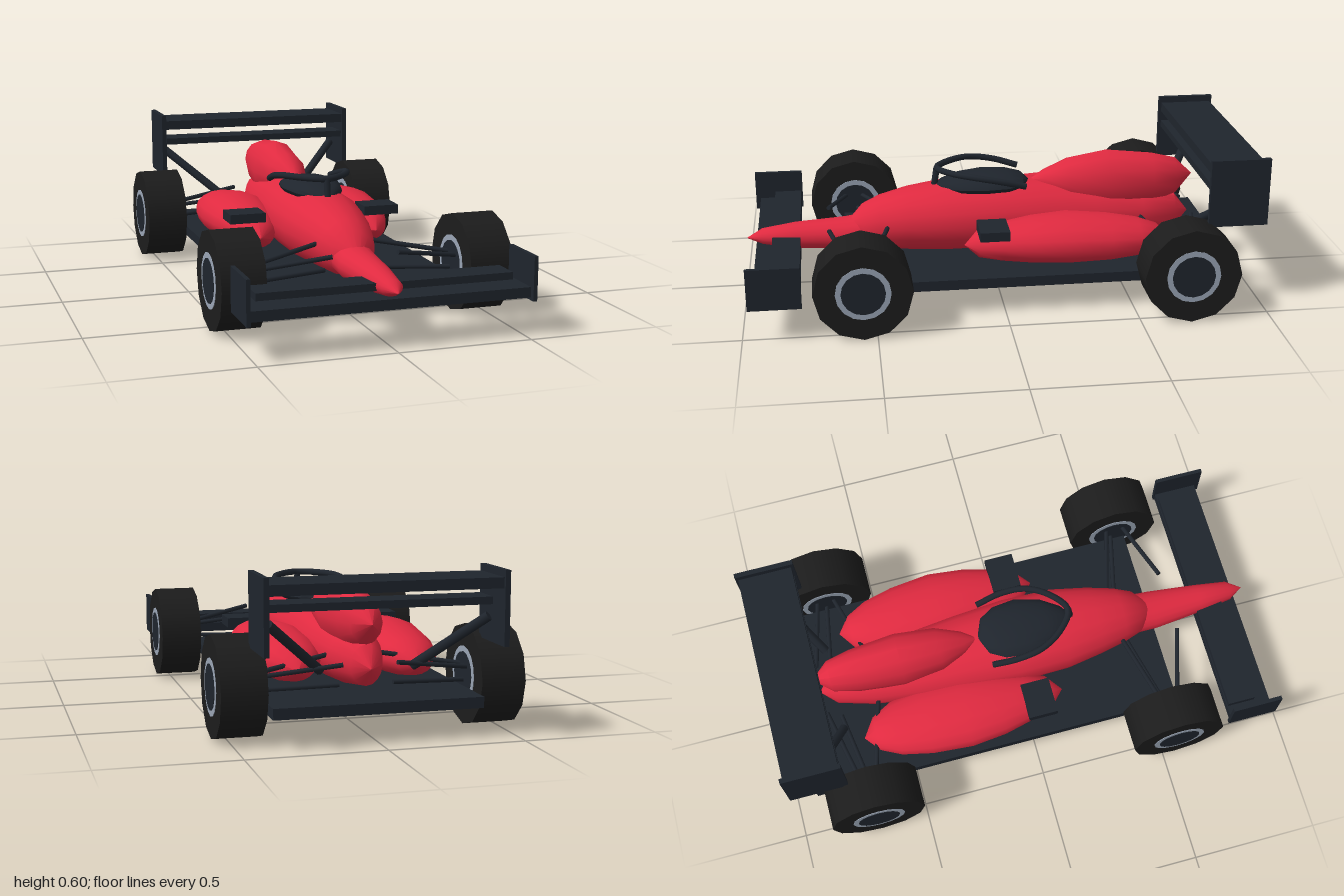
import * as THREE from 'three';
import { toCreasedNormals } from 'three/addons/utils/BufferGeometryUtils.js';

const mat = (color) => new THREE.MeshStandardMaterial({ color });
const red = mat(0xe02a40), carbon = mat(0x1f252d), rubber = mat(0x1c1c1c), silver = mat(0x9aa5b5);

export function createModel() {
  const car = new THREE.Group();
  car.name = 'racingCar';

  const add = (name, geometry, material, parent = car) => {
    const mesh = new THREE.Mesh(geometry, material);
    mesh.name = name;
    parent.add(mesh);
    return mesh;
  };

  // Box given by its extents on each axis
  const box = (name, [x0, x1], [y0, y1], [z0, z1]) =>
    add(name, new THREE.BoxGeometry(x1 - x0, y1 - y0, z1 - z0), carbon)
      .position.set((x0 + x1) / 2, (y0 + y1) / 2, (z0 + z1) / 2);

  // Round bar between two points
  const bar = (name, from, to, radius) => {
    const a = new THREE.Vector3(...from), b = new THREE.Vector3(...to);
    const mesh = add(name, new THREE.CylinderGeometry(radius, radius, a.distanceTo(b), 8), carbon);
    mesh.position.copy(a).add(b).multiplyScalar(0.5);
    mesh.quaternion.setFromUnitVectors(new THREE.Vector3(0, 1, 0), b.sub(a).normalize());
  };

  // Shell through elliptical sections [z, centreX, centreY, radiusX, radiusY], front to back
  const shell = (name, sections, material, sides = 16) => {
    const pos = [], index = [];
    sections.forEach(([z, cx, cy, rx, ry], i) => {
      for (let j = 0; j < sides; j++) {
        const a = (j / sides) * Math.PI * 2;
        pos.push(cx + rx * Math.cos(a), cy + ry * Math.sin(a), z);
        if (i === sections.length - 1) continue;
        const p = i * sides + j, q = i * sides + ((j + 1) % sides);
        index.push(p, p + sides, q, q, p + sides, q + sides);
      }
    });
    const geo = new THREE.BufferGeometry();
    geo.setAttribute('position', new THREE.Float32BufferAttribute(pos, 3));
    geo.setIndex(index);
    add(name, toCreasedNormals(geo, 0.7), material);
  };

  // Bodywork
  shell('nose', [
    [0.99, 0, 0.205, 0.001, 0.001], [0.93, 0, 0.21, 0.04, 0.03], [0.8, 0, 0.208, 0.058, 0.052],
    [0.6, 0, 0.21, 0.08, 0.062], [0.42, 0, 0.23, 0.085, 0.07],
  ], red);
  shell('body', [
    [0.61, 0, 0.235, 0.001, 0.001], [0.53, 0, 0.24, 0.085, 0.085], [0.46, 0, 0.25, 0.112, 0.108],
    [0.35, 0, 0.262, 0.14, 0.125], [0.2, 0, 0.27, 0.168, 0.14], [0, 0, 0.273, 0.173, 0.14],
    [-0.2, 0, 0.27, 0.158, 0.137], [-0.4, 0, 0.26, 0.14, 0.12], [-0.6, 0, 0.25, 0.105, 0.1],
    [-0.74, 0, 0.245, 0.06, 0.075], [-0.8, 0, 0.24, 0.001, 0.001],
  ], red);
  shell('engineCover', [
    [-0.14, 0, 0.4, 0.001, 0.001], [-0.2, 0, 0.395, 0.045, 0.045], [-0.3, 0, 0.39, 0.085, 0.095],
    [-0.46, 0, 0.385, 0.1, 0.13], [-0.64, 0, 0.39, 0.082, 0.105], [-0.74, 0, 0.395, 0.06, 0.075],
    [-0.81, 0, 0.4, 0.001, 0.001],
  ], red, 12);
  shell('cockpit', [
    [0.25, 0, 0.39, 0.001, 0.001], [0.21, 0, 0.395, 0.05, 0.025], [0.14, 0, 0.4, 0.095, 0.037],
    [0.04, 0, 0.405, 0.12, 0.04], [-0.05, 0, 0.405, 0.11, 0.037], [-0.11, 0, 0.405, 0.075, 0.025],
    [-0.14, 0, 0.405, 0.001, 0.001],
  ], carbon);

  // Floor, wing planes
  box('floor', [-0.38, 0.38], [0.105, 0.145], [-0.91, 0.6]);
  box('frontWing', [-0.515, 0.515], [0.14, 0.178], [0.78, 0.955]);
  box('frontWingFlap', [-0.475, 0.475], [0.193, 0.22], [0.78, 0.89]);
  box('rearWing', [-0.42, 0.42], [0.537, 0.575], [-0.99, -0.78]);
  box('rearWingFlap', [-0.41, 0.41], [0.47, 0.497], [-0.9, -0.78]);

  // Cockpit guard: hoop and centre pillar
  const hoop = [[0.13, 0.42, -0.11], [0.142, 0.448, -0.01], [0.13, 0.465, 0.09], [0.075, 0.468, 0.18]];
  const path = [...hoop, [0, 0.468, 0.23], ...hoop.map(([x, y, z]) => [-x, y, z]).reverse()];
  const curve = new THREE.CatmullRomCurve3(path.map((p) => new THREE.Vector3(...p)));
  add('guardHoop', new THREE.TubeGeometry(curve, 40, 0.013, 8), carbon);
  bar('guardPillar', [0, 0.37, 0.245], [0, 0.47, 0.23], 0.013);

  for (const s of [1, -1]) {
    const side = s > 0 ? 'left' : 'right';
    const span = (a, b) => (s > 0 ? [a, b] : [-b, -a]);

    shell(side + 'SidePod', [
      [0.145, s * 0.24, 0.23, 0.001, 0.001], [0.09, s * 0.235, 0.233, 0.065, 0.053],
      [0, s * 0.235, 0.237, 0.1, 0.072], [-0.12, s * 0.232, 0.24, 0.133, 0.087],
      [-0.26, s * 0.228, 0.242, 0.152, 0.094], [-0.42, s * 0.225, 0.235, 0.14, 0.085],
      [-0.54, s * 0.225, 0.23, 0.112, 0.07], [-0.62, s * 0.225, 0.225, 0.07, 0.05],
      [-0.67, s * 0.23, 0.22, 0.001, 0.001],
    ], red);
    box(side + 'Mirror', span(0.207, 0.35), [0.283, 0.32], [-0.02, 0.095]);
    box(side + 'FrontEndplate', span(0.515, 0.53), [0.13, 0.293], [0.775, 0.975]);
    box(side + 'RearEndplate', span(0.413, 0.432), [0.335, 0.6], [-1, -0.77]);
    bar(side + 'RearWingStrut', [s * 0.395, 0.43, -0.9], [s * 0.17, 0.235, -0.74], 0.018);

    // Suspension arms, hub end first
    [
      [[0.42, 0.215, 0.58], [0.125, 0.268, 0.665]], [[0.42, 0.215, 0.53], [0.09, 0.268, 0.43]],
      [[0.42, 0.165, 0.55], [0.09, 0.17, 0.47]], [[0.42, 0.215, -0.72], [0.1, 0.26, -0.79]],
      [[0.42, 0.215, -0.67], [0.1, 0.26, -0.58]], [[0.42, 0.165, -0.69], [0.1, 0.18, -0.74]],
    ].forEach(([[hx, hy, hz], [x, y, z]]) =>
      bar(side + 'SuspensionArm', [s * hx, hy, hz], [s * x, y, z], 0.009));

    // Wheels: tyre, rim ring, hub
    for (const [end, z] of [['Front', 0.55], ['Rear', -0.69]]) {
      const wheel = new THREE.Group();
      wheel.name = side + end + 'Wheel';
      wheel.position.set(s * 0.469, 0.186, z);
      wheel.rotation.z = Math.PI / 2;
      add('tyre', new THREE.CylinderGeometry(0.186, 0.186, 0.164, 12), rubber, wheel);
      add('rim', new THREE.CylinderGeometry(0.104, 0.104, 0.168, 16), silver, wheel);
      add('hub', new THREE.CylinderGeometry(0.083, 0.083, 0.172, 16), carbon, wheel);
      car.add(wheel);
    }
  }
  return car;
}
